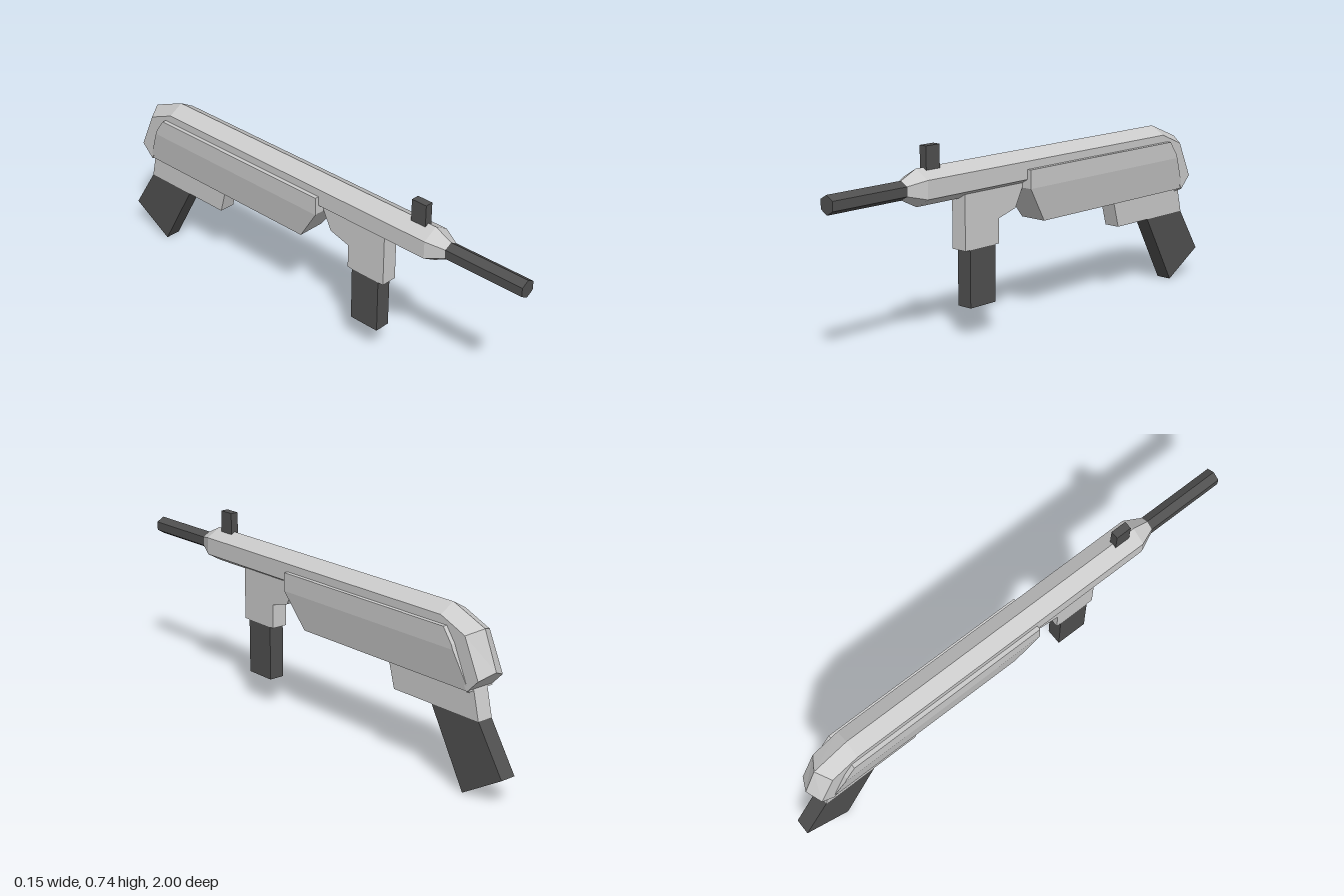
import * as THREE from 'three';

const grey = new THREE.MeshStandardMaterial({ color: 0xcccccc, flatShading: true });
const dark = new THREE.MeshStandardMaterial({ color: 0x505050, flatShading: true });

function part(name, geometry, material) {
  const mesh = new THREE.Mesh(geometry, material);
  mesh.name = name;
  return mesh;
}

// Side outline given as [z, y] points, extruded symmetrically across x
function slab(points, halfWidth) {
  const shape = new THREE.Shape(points.map(([z, y]) => new THREE.Vector2(z, y)));
  const geo = new THREE.ExtrudeGeometry(shape, { depth: halfWidth * 2, bevelEnabled: false });
  return geo.translate(0, 0, -halfWidth).rotateY(-Math.PI / 2);
}

// Hexagonal tube through stations of [topZ, topY, bottomZ, bottomY, halfWidth], front to back
function hexLoft(stations) {
  const ring = [[0, 0], [1, 0.25], [1, 0.75], [0, 1], [-1, 0.75], [-1, 0.25]];
  const positions = [];
  for (const [tz, ty, bz, by, w] of stations) {
    for (const [side, t] of ring) {
      positions.push(side * w, ty + (by - ty) * t, tz + (bz - tz) * t);
    }
  }
  const index = [];
  const last = (stations.length - 1) * 6;
  for (let s = 0; s < last; s += 6) {
    for (let i = 0; i < 6; i++) {
      const a = s + i, b = s + (i + 1) % 6;
      index.push(a, b, a + 6, b, b + 6, a + 6);
    }
  }
  for (let i = 1; i < 5; i++) {
    index.push(0, i + 1, i, last, last + i, last + i + 1);
  }
  const geo = new THREE.BufferGeometry();
  geo.setAttribute('position', new THREE.Float32BufferAttribute(positions, 3));
  geo.setIndex(index);
  const flat = geo.toNonIndexed();
  flat.computeVertexNormals();
  return flat;
}

export function createModel() {
  const group = new THREE.Group();
  group.name = 'gun';

  // Hexagonal body with tapered nose and drooping rear
  group.add(part('receiver', hexLoft([
    [0.67, 0.632, 0.67, 0.562, 0.03],
    [0.6, 0.665, 0.6, 0.528, 0.06],
    [-0.72, 0.665, -0.72, 0.528, 0.06],
    [-0.87, 0.605, -0.73, 0.52, 0.06],
    [-0.928, 0.465, -0.825, 0.362, 0.06],
  ]), grey));

  // Barrel
  const barrel = new THREE.CylinderGeometry(0.035, 0.035, 0.34, 6).rotateX(Math.PI / 2);
  group.add(part('barrel', barrel.translate(0, 0.597, 0.83), dark));

  // Front sight
  const sight = new THREE.BoxGeometry(0.032, 0.092, 0.065);
  group.add(part('frontSight', sight.translate(0, 0.696, 0.533), dark));

  // Wide side cover: straight upper band, lower band narrowing downwards
  group.add(part('coverUpper', slab([
    [0.095, 0.528], [0.095, 0.6], [-0.75, 0.6], [-0.79, 0.545], [-0.797, 0.528],
  ], 0.077), grey));
  const lower = slab([[0.095, 0.528], [-0.797, 0.528], [-0.86, 0.39], [0, 0.39]], 1);
  const pos = lower.attributes.position;
  for (let i = 0; i < pos.count; i++) {
    const t = (pos.getY(i) - 0.39) / 0.138;
    pos.setX(i, Math.sign(pos.getX(i)) * (0.057 + 0.02 * t));
  }
  lower.computeVertexNormals();
  group.add(part('coverLower', lower, grey));

  // Magazine well and magazine
  group.add(part('magazineWell', slab([
    [0.395, 0.56], [0.395, 0.337], [0.22, 0.337], [0.22, 0.432],
    [0.132, 0.457], [0.095, 0.53], [0.095, 0.56],
  ], 0.033), grey));
  const magazine = new THREE.BoxGeometry(0.064, 0.23, 0.13);
  group.add(part('magazine', magazine.translate(0, 0.233, 0.305), dark));

  // Grip mount and slanted grip
  group.add(part('gripMount', slab([
    [-0.435, 0.41], [-0.47, 0.284], [-0.885, 0.284], [-0.855, 0.41],
  ], 0.033), grey));
  group.add(part('grip', slab([
    [-0.66, 0.284], [-0.82, 0], [-1, 0.105], [-0.885, 0.284],
  ], 0.032), dark));

  return group;
}
